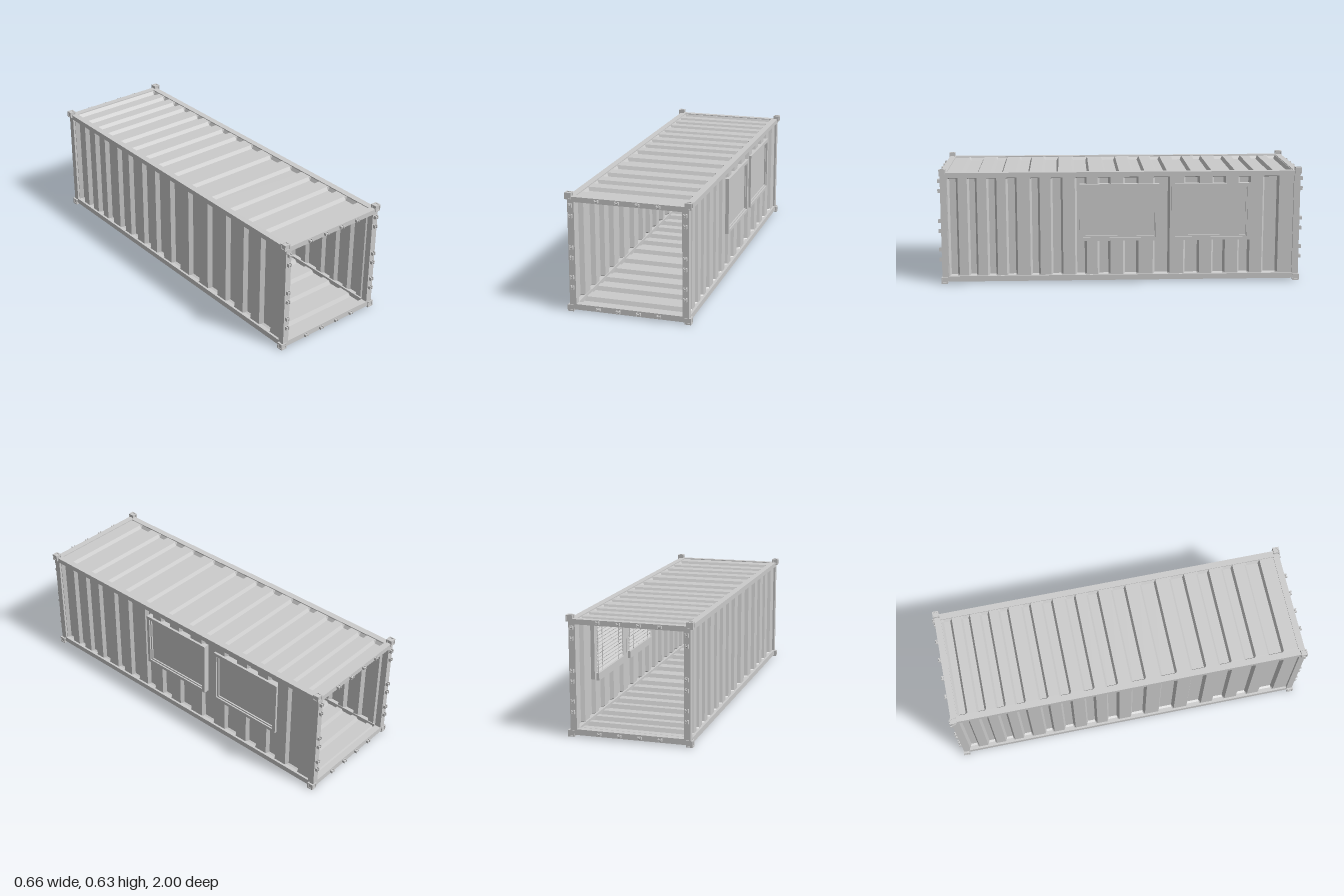
import * as THREE from 'three';
import { mergeGeometries } from 'three/addons/utils/BufferGeometryUtils.js';

const grey = new THREE.MeshStandardMaterial({ color: 0xcccccc, flatShading: true });
const sheetGrey = new THREE.MeshStandardMaterial({ color: 0xcccccc, flatShading: true, side: THREE.DoubleSide });

const MID_Y = 0.3125;
// start and end of each pressed groove along z
const GROOVES = [
  [-0.947, -0.89], [-0.84, -0.787], [-0.735, -0.68], [-0.63, -0.57], [-0.5, -0.445],
  [-0.386, -0.32], [-0.254, -0.19], [-0.13, -0.06], [0.01, 0.095], [0.175, 0.268],
  [0.344, 0.432], [0.5, 0.575], [0.645, 0.712], [0.78, 0.87],
];
const MIRRORED = GROOVES.map(([a, b]) => [-b, -a]).reverse();
const WINDOWS = [0.01, -0.495].map((z) => ({ z, y: 0.39, halfZ: 0.198, halfY: 0.138 }));

function box(x0, x1, y0, y1, z0, z1) {
  return new THREE.BoxGeometry(x1 - x0, y1 - y0, z1 - z0)
    .translate((x0 + x1) / 2, (y0 + y1) / 2, (z0 + z1) / 2);
}

function part(name, geometries, material = grey) {
  const mesh = new THREE.Mesh(mergeGeometries(geometries), material);
  mesh.name = name;
  return mesh;
}

// Sheet facing +y with recessed grooves across x and optional rectangular openings
function pressedSheet(grooves, grooveHalf, outer, depth, holes = []) {
  const slope = 0.011;
  const half = 0.302;
  const us = [-0.965, 0.965];
  const vs = [-half, half, -grooveHalf, grooveHalf, -grooveHalf + slope, grooveHalf - slope];
  grooves.forEach(([a, b]) => us.push(a, a + slope, b - slope, b));
  holes.forEach((h) => {
    us.push(h.u0, h.u1);
    vs.push(h.v0, h.v1);
  });
  const sortUnique = (list) => [...new Set(list)].sort((a, b) => a - b);
  const U = sortUnique(us);
  const V = sortUnique(vs);
  const ramp = (d) => THREE.MathUtils.clamp(d / slope, 0, 1);
  const point = (u, v) => {
    let sink = 0;
    for (const [a, b] of grooves) sink = Math.max(sink, Math.min(ramp(u - a), ramp(b - u)));
    return [v, outer - depth * Math.min(sink, ramp(grooveHalf - Math.abs(v))), u];
  };
  const positions = [];
  for (let i = 0; i < U.length - 1; i++) {
    for (let j = 0; j < V.length - 1; j++) {
      const cu = (U[i] + U[i + 1]) / 2;
      const cv = (V[j] + V[j + 1]) / 2;
      if (holes.some((h) => cu > h.u0 && cu < h.u1 && cv > h.v0 && cv < h.v1)) continue;
      const a = point(U[i], V[j]);
      const b = point(U[i + 1], V[j]);
      const c = point(U[i + 1], V[j + 1]);
      const d = point(U[i], V[j + 1]);
      positions.push(...a, ...b, ...c, ...a, ...c, ...d);
    }
  }
  const geometry = new THREE.BufferGeometry();
  geometry.setAttribute('position', new THREE.Float32BufferAttribute(positions, 3));
  geometry.computeVertexNormals();
  return geometry;
}

// Corner block: twelve edge bars around a slightly smaller core
function cornerCasting() {
  const s = 0.0172;
  const t = 0.0065;
  const c = s - 0.0035;
  const pieces = [box(-c, c, -c, c, -c, c)];
  const e = s - t / 2;
  for (const a of [-e, e]) {
    for (const b of [-e, e]) {
      pieces.push(new THREE.BoxGeometry(2 * s, t, t).translate(0, a, b));
      pieces.push(new THREE.BoxGeometry(t, 2 * s, t).translate(a, 0, b));
      pieces.push(new THREE.BoxGeometry(t, t, 2 * s).translate(a, b, 0));
    }
  }
  return mergeGeometries(pieces);
}

// Hinge lug: back plate, two cheeks and a pin
function hingeLug(width, height) {
  const w = width / 2;
  const h = height / 2;
  return mergeGeometries([
    box(-w, w, -h, h, 0, 0.004),
    box(-w, -w + 0.005, -h, h, 0, 0.017),
    box(w - 0.005, w, -h, h, 0, 0.017),
    new THREE.CylinderGeometry(0.0045, 0.0045, width, 8).rotateZ(Math.PI / 2).translate(0, 0, 0.0105),
  ]);
}

function windowUnit(w) {
  const group = new THREE.Group();
  group.name = 'window';
  const { halfZ: a, halfY: b } = w;
  const ring = (x0, x1, inner, outer) => [
    box(x0, x1, b + inner, b + outer, -a - outer, a + outer),
    box(x0, x1, -b - outer, -b - inner, -a - outer, a + outer),
    box(x0, x1, -b - inner, b + inner, a + inner, a + outer),
    box(x0, x1, -b - inner, b + inner, -a - outer, -a - inner),
  ];
  group.add(part('windowFrame', [...ring(0.286, 0.32, 0.002, 0.02), ...ring(0.288, 0.312, -0.006, 0.002)]));
  group.add(part('windowPane', [box(0.296, 0.304, -b, b, -a, a)]));
  group.position.set(0, w.y, w.z);
  return group;
}

// Slatted blind hung on the inner face of the wall
function blind(w) {
  const group = new THREE.Group();
  group.name = 'blind';
  const a = w.halfZ;
  group.add(part('blindRails', [
    box(0.271, 0.284, 0.526, 0.54, -a, a),
    box(0.269, 0.284, 0.222, 0.262, -a, a),
  ]));
  const slats = [];
  for (let i = 0; i < 13; i++) {
    slats.push(new THREE.BoxGeometry(0.0125, 0.0015, 2 * a - 0.01)
      .rotateZ(0.85).translate(0.279, 0.272 + i * 0.02, 0));
  }
  group.add(part('blindSlats', slats));
  const cords = [-a + 0.006, -a + 0.07, a - 0.07, a - 0.006]
    .map((z) => box(0.274, 0.276, 0.25, 0.53, z - 0.003, z + 0.003));
  group.add(part('blindCords', cords));
  group.position.z = w.z;
  return group;
}

export function createModel() {
  const model = new THREE.Group();
  model.name = 'container';

  // Frame posts and beams
  const posts = [];
  const endBeams = [];
  const sideBeams = [];
  for (const s of [-1, 1]) {
    const x0 = s > 0 ? 0.284 : -0.319;
    const x1 = x0 + 0.035;
    for (const e of [-1, 1]) {
      const z0 = e > 0 ? 0.95 : -0.985;
      posts.push(box(x0, x1, 0.012, 0.613, z0, z0 + 0.035));
    }
    sideBeams.push(box(x0, x1, 0.588, 0.615, -0.984, 0.984), box(x0, x1, 0.01, 0.04, -0.984, 0.984));
    const z0 = s > 0 ? 0.95 : -0.985;
    endBeams.push(box(-0.3, 0.3, 0.588, 0.615, z0, z0 + 0.035), box(-0.3, 0.3, 0.01, 0.04, z0, z0 + 0.035));
  }
  model.add(part('cornerPosts', posts), part('sideBeams', sideBeams), part('endBeams', endBeams));

  // Corner castings
  const castings = [];
  for (const x of [-0.314, 0.314])
    for (const y of [0.0172, 0.6178])
      for (const z of [-0.972, 0.972]) castings.push(cornerCasting().translate(x, y, z));
  model.add(part('cornerCastings', castings));

  // Hinge lugs on both open ends
  const lugs = [];
  for (const turn of [0, Math.PI]) {
    const place = (g, x, y) => lugs.push(g.translate(x, y, 0.983).rotateY(turn));
    for (const x of [-0.162, -0.054, 0.054, 0.162])
      for (const y of [0.025, 0.603]) place(hingeLug(0.022, 0.014), x, y);
    for (const x of [-0.301, 0.301])
      for (const y of [0.132, 0.188, 0.292, 0.348, 0.515, 0.571]) place(hingeLug(0.019, 0.019), x, y);
  }
  model.add(part('hingeLugs', lugs));

  // Pressed roof, floor and walls
  const holes = WINDOWS.map((w) => ({
    u0: w.z - w.halfZ, u1: w.z + w.halfZ,
    v0: MID_Y - w.y - w.halfY, v1: MID_Y - w.y + w.halfY,
  }));
  const addSheet = (name, geometry, angle) =>
    model.add(part(name, [geometry.rotateZ(angle).translate(0, MID_Y, 0)], sheetGrey));
  addSheet('roof', pressedSheet(GROOVES, 0.285, 0.298, 0.019), 0);
  addSheet('floor', pressedSheet(GROOVES, 0.285, 0.298, 0.022), Math.PI);
  addSheet('leftWall', pressedSheet(MIRRORED, 0.278, 0.307, 0.02, holes), -Math.PI / 2);
  addSheet('rightWall', pressedSheet(GROOVES, 0.278, 0.307, 0.024), Math.PI / 2);

  // Windows with blinds
  for (const w of WINDOWS) model.add(windowUnit(w), blind(w));

  return model;
}
